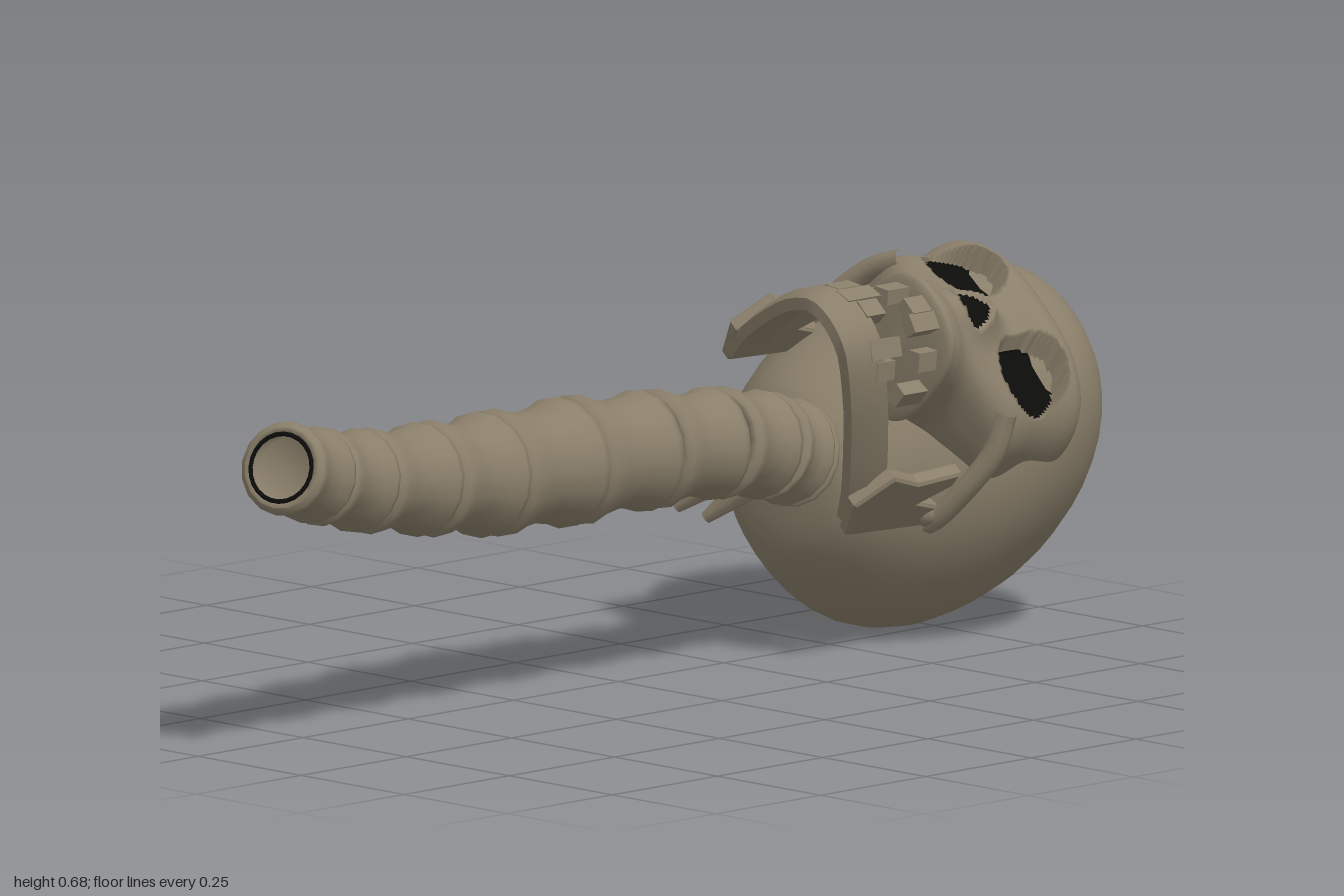
import * as THREE from 'three';
import { toCreasedNormals } from 'three/addons/utils/BufferGeometryUtils.js';

const bone = new THREE.MeshStandardMaterial({ color: 0x8a7f6a });
bone.name = 'bone';
const hollow = new THREE.MeshStandardMaterial({ color: 0x0c0c0b });
hollow.name = 'dark hollow';

function add(parent, name, geometry, material = bone) {
  const mesh = new THREE.Mesh(geometry, material);
  mesh.name = name;
  parent.add(mesh);
  return mesh;
}

function fromArrays(pos, index) {
  const g = new THREE.BufferGeometry();
  g.setAttribute('position', new THREE.Float32BufferAttribute(pos, 3));
  g.setIndex(index);
  return g;
}

// Rounded loft down a list of levels [height, back, front, half width].
// shape(p) may move a point; faces whose corners all satisfy isHole(p) are dark.
function loft(levels, power, cols, rows, shape = () => {}, isHole = () => false) {
  const depth = new THREE.CatmullRomCurve3(levels.map(([u, a, b]) => new THREE.Vector3(u, a, b)), false, 'catmullrom');
  const width = new THREE.CatmullRomCurve3(levels.map((v) => new THREE.Vector3(v[3], 0, 0)), false, 'catmullrom');
  const holes = [], pos = [], solid = [], dark = [];
  for (let i = 0; i <= rows; i++) {
    const d = depth.getPoint(i / rows), w = width.getPoint(i / rows).x;
    for (let j = 0; j < cols; j++) {
      const t = (j / cols) * Math.PI * 2, c = Math.cos(t), s = Math.sin(t);
      const r = Math.pow(Math.abs(c) ** power + Math.abs(s) ** power, -1 / power);
      const p = new THREE.Vector3(w * r * c, d.x, (d.y + d.z) / 2 + ((d.z - d.y) / 2) * r * s);
      holes.push(isHole(p));
      shape(p);
      pos.push(p.x, p.y, p.z);
    }
  }
  for (let i = 0; i < rows; i++) {
    for (let j = 0; j < cols; j++) {
      const a = i * cols + j, b = i * cols + ((j + 1) % cols);
      const inHole = [a, b, a + cols, b + cols].every((k) => holes[k]);
      (inHole ? dark : solid).push(a, b, a + cols, b, b + cols, a + cols);
    }
  }
  const g = fromArrays(pos, [...solid, ...dark]);
  g.addGroup(0, solid.length, 0);
  g.addGroup(solid.length, dark.length, 1);
  g.computeVertexNormals();
  return g;
}

// Eye sockets and the pear-shaped nose opening
const inEye = (p) => p.z > 0.43 && ((Math.abs(p.x) - 0.112) / 0.065) ** 2 + ((p.y - 0.7) / 0.066) ** 2 < 1;
const inNose = (p) => p.z > 0.43 && (p.x / (0.038 - (p.y - 0.61) * 0.4)) ** 2 + ((p.y - 0.61) / 0.044) ** 2 < 1;

// Raise the bridge of the nose and sink the openings to flat floors
function shapeFace(p) {
  const eye = inEye(p), nose = inNose(p);
  if (p.z > 0.43) p.z += 0.07 * Math.exp(-((p.x / 0.045) ** 2) - ((p.y - 0.615) / 0.06) ** 2);
  if (eye) p.z = Math.min(p.z - 0.012, 0.53 - 0.3 * (Math.abs(p.x) - 0.05));
  else if (nose) p.z = Math.min(p.z - 0.012, 0.595);
}

// Horseshoe-shaped lower jaw bar, flaring towards the teeth
function jawGeometry() {
  const half = [[0.208, 0.31, 0.355], [0.195, 0.38, 0.33], [0.16, 0.48, 0.295], [0.115, 0.575, 0.262], [0.06, 0.64, 0.243]];
  const path = [...half.map(([l, f, u]) => [-l, f, u]), [0, 0.655, 0.24], ...half.slice().reverse()];
  const curve = new THREE.CatmullRomCurve3(path.map(([l, f, u]) => new THREE.Vector3(l, u, f)));
  const section = [[0.014, 0], [0, 0.03], [0, 0.075], [0.036, 0.075], [0.036, 0]];
  const n = 24, k = section.length, pos = [], index = [];
  for (let i = 0; i <= n; i++) {
    const p = curve.getPoint(i / n), t = curve.getTangent(i / n);
    for (const [inset, rise] of section) pos.push(p.x + t.z * inset, p.y + rise, p.z - t.x * inset);
    if (i === n) continue;
    for (let j = 0; j < k; j++) {
      const a = i * k + j, b = i * k + ((j + 1) % k);
      index.push(a, a + k, b, b, a + k, b + k);
    }
  }
  for (let j = 1; j < k - 1; j++) index.push(0, j, j + 1, n * k, n * k + j + 1, n * k + j);
  return toCreasedNormals(fromArrays(pos, index), 0.6);
}

function buildSkull() {
  const skull = new THREE.Group();
  skull.name = 'skull';

  add(skull, 'cranium', loft([
    [1, 0.2, 0.202, 0.001], [0.99, 0.1, 0.31, 0.09], [0.955, 0.0, 0.45, 0.17], [0.88, -0.075, 0.54, 0.235],
    [0.79, -0.11, 0.553, 0.267], [0.69, -0.118, 0.505, 0.276], [0.6, -0.1, 0.46, 0.258], [0.52, -0.045, 0.4, 0.215],
    [0.45, 0.03, 0.34, 0.16], [0.42, 0.08, 0.29, 0.1], [0.41, 0.18, 0.182, 0.001],
  ], 2.15, 40, 32), [bone, hollow]);

  add(skull, 'face', loft([
    [0.86, 0.38, 0.382, 0.001], [0.845, 0.28, 0.5, 0.13], [0.81, 0.25, 0.557, 0.188], [0.765, 0.25, 0.58, 0.218],
    [0.7, 0.27, 0.555, 0.206], [0.635, 0.3, 0.56, 0.21], [0.585, 0.34, 0.58, 0.168], [0.54, 0.38, 0.61, 0.118],
    [0.5, 0.4, 0.645, 0.108], [0.475, 0.4, 0.64, 0.1], [0.467, 0.53, 0.532, 0.001],
  ], 2.6, 200, 100, shapeFace, (p) => inEye(p) || inNose(p)), [bone, hollow]);

  add(skull, 'lowerJaw', jawGeometry());

  // Rising rear plates of the jaw, drawn in depth and height
  const plate = new THREE.Shape([[0.29, 0.37], [0.37, 0.335], [0.43, 0.385], [0.4, 0.46], [0.41, 0.55], [0.385, 0.55],
    [0.345, 0.49], [0.32, 0.56], [0.28, 0.56]].map(([f, u]) => new THREE.Vector2(f, u)));
  const plateGeo = new THREE.ExtrudeGeometry(plate, { depth: 0.018, bevelSize: 0.005, bevelThickness: 0.005, bevelSegments: 1 });
  plateGeo.translate(0, 0, -0.009).rotateY(-Math.PI / 2);
  for (const s of [-1, 1]) {
    add(skull, 'jawPlate', plateGeo).position.x = s * 0.195;
    add(skull, 'jawJoint', new THREE.SphereGeometry(0.026, 10, 8)).position.set(s * 0.197, 0.555, 0.3);

    // Cheek arch from the face to the temple
    const arch = new THREE.CatmullRomCurve3([[0.17, 0.615, 0.52], [0.203, 0.605, 0.46], [0.216, 0.58, 0.37],
      [0.208, 0.565, 0.28], [0.16, 0.57, 0.21]].map(([l, u, f]) => new THREE.Vector3(s * l, u, f)));
    add(skull, 'cheekArch', new THREE.TubeGeometry(arch, 14, 0.02, 8));
  }

  // Uneven teeth with gaps
  const rows = [
    { name: 'upperTooth', u: 0.448, f: 0.51, a: 0.09, b: 0.118, missing: [1, 3, 6, 9] },
    { name: 'lowerTooth', u: 0.328, f: 0.525, a: 0.108, b: 0.119, missing: [0, 1, 4, 8, 10] },
  ];
  for (const row of rows) {
    for (let i = 0; i < 11; i++) {
      if (row.missing.includes(i)) continue;
      const t = (i / 10) * Math.PI;
      const tooth = add(skull, row.name, new THREE.BoxGeometry(0.034, 0.06 + 0.018 * Math.sin(i * 2.3), 0.026));
      tooth.position.set(row.a * Math.cos(t), row.u, row.f + row.b * Math.sin(t));
      tooth.rotation.y = Math.PI / 2 - t;
    }
  }

  // Lay the skull with its crown to the back and its face up and to the left
  const face = new THREE.Vector3(0.68, 0.73, 0).normalize();
  const up = new THREE.Vector3(0, 0, -1);
  const side = up.clone().cross(face);
  skull.quaternion.setFromRotationMatrix(new THREE.Matrix4().makeBasis(side, up, face));
  skull.position.copy(side).multiplyScalar(-0.23);
  return skull;
}

function buildSpine() {
  const spine = new THREE.Group();
  spine.name = 'spine';
  const yAxis = new THREE.Vector3(0, 1, 0);

  // Joints between the vertebrae: [x, y, z, radius]
  const joints = [
    [0.176, 0.515, 0.975, 0.08], [0.137, 0.48, 0.855, 0.083], [0.108, 0.45, 0.72, 0.089], [0.081, 0.427, 0.545, 0.098],
    [0.057, 0.41, 0.37, 0.108], [0.046, 0.405, 0.165, 0.112], [0.052, 0.402, -0.02, 0.103], [0.052, 0.393, -0.18, 0.096],
    [0.032, 0.37, -0.31, 0.093], [0.008, 0.342, -0.4, 0.092], [-0.012, 0.32, -0.48, 0.09],
  ];
  // Spool with a narrower disc at each end and a shallow hollow
  const half = [[0, 0.25], [0.7, 0.25], [0.74, 0.02], [0.87, 0], [0.89, 0.035], [0.99, 0.06], [1.01, 0.13], [0.92, 0.28]];
  const profile = [...half, [0.86, 0.5], ...half.slice().reverse().map(([r, y]) => [r, 1 - y])];
  for (let i = 0; i < joints.length - 1; i++) {
    const a = new THREE.Vector3(...joints[i]), b = new THREE.Vector3(...joints[i + 1]);
    const len = a.distanceTo(b), ra = joints[i][3], rb = joints[i + 1][3];
    const pts = profile.map(([r, y]) => new THREE.Vector2(r * (ra + (rb - ra) * y), y * len));
    const v = add(spine, 'vertebra', new THREE.LatheGeometry(pts, 16));
    v.position.copy(a);
    v.quaternion.setFromUnitVectors(yAxis, b.sub(a).normalize());
    // Dark lining inside the open end
    if (i === 0) add(v, 'openEndLining', new THREE.TorusGeometry(0.058, 0.004, 6, 24).rotateX(Math.PI / 2)).material = hollow;
  }

  // Spikes on the rear of the neck: base, tip and base radius
  const spikes = [
    [[0.0, 0.33, -0.13], [-0.045, 0.29, -0.09], 0.03],
    [[0.0, 0.33, -0.26], [-0.08, 0.26, -0.215], 0.034],
    [[-0.01, 0.32, -0.38], [-0.12, 0.222, -0.325], 0.038],
  ];
  for (const [from, to, r] of spikes) {
    const a = new THREE.Vector3(...from), b = new THREE.Vector3(...to);
    const spike = add(spine, 'neckSpike', new THREE.CylinderGeometry(0.011, r, a.distanceTo(b), 8));
    spike.position.copy(a).add(b).multiplyScalar(0.5);
    spike.quaternion.setFromUnitVectors(yAxis, b.sub(a).normalize());
  }
  return spine;
}

export function createModel() {
  const model = new THREE.Group();
  model.name = 'skullAndSpine';
  model.add(buildSkull(), buildSpine());
  return model;
}
